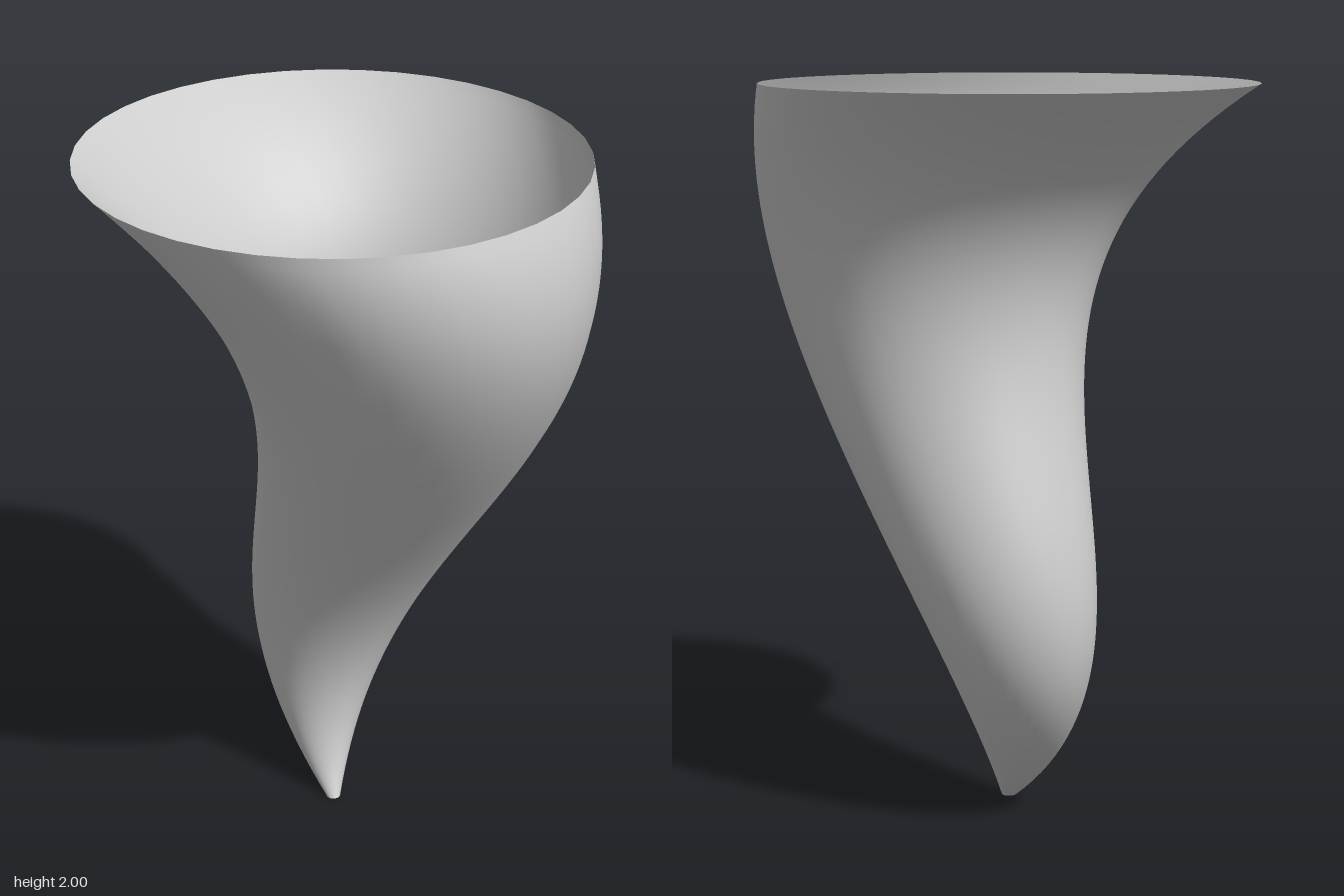
import * as THREE from 'three';

const HEIGHT = 2, SIDES = 40, ROWS = 64;

// Cubic bend that vanishes at both ends and changes sign at t = cross
const bend = (t, strength, cross) => strength * t * (1 - t) * (t - cross);

// Horizontal cross-section at height fraction t: centre and radii
function section(t) {
  const radius = THREE.MathUtils.lerp(0.02, 0.68, t) + bend(t, -0.95, 0.39);
  const oval = 0.05 * t * (1 - t);
  return {
    x: -0.02 + bend(t, 3.1, 0.371),
    z: bend(t, 2.87, 0.635),
    rx: radius + oval,
    rz: radius - oval,
  };
}

// Open skin lofted through the sections
function hornGeometry() {
  const positions = [], indices = [];
  for (let j = 0; j <= ROWS; j++) {
    const t = j / ROWS, s = section(t);
    for (let i = 0; i < SIDES; i++) {
      const a = (i / SIDES) * Math.PI * 2;
      positions.push(s.x + s.rx * Math.cos(a), t * HEIGHT, s.z + s.rz * Math.sin(a));
    }
  }
  for (let j = 0; j < ROWS; j++) {
    for (let i = 0; i < SIDES; i++) {
      const next = (i + 1) % SIDES;
      const a = j * SIDES + i, b = j * SIDES + next;
      const c = a + SIDES, d = b + SIDES;
      indices.push(a, c, b, b, c, d);
    }
  }
  const geometry = new THREE.BufferGeometry();
  geometry.setAttribute('position', new THREE.Float32BufferAttribute(positions, 3));
  geometry.setIndex(indices);
  geometry.computeVertexNormals();
  return geometry;
}

export function createModel() {
  const group = new THREE.Group();
  group.name = 'twistedHorn';
  const material = new THREE.MeshStandardMaterial({ color: 0xcccccc, side: THREE.DoubleSide });
  const horn = new THREE.Mesh(hornGeometry(), material);
  horn.name = 'hornShell';
  group.add(horn);
  return group;
}
